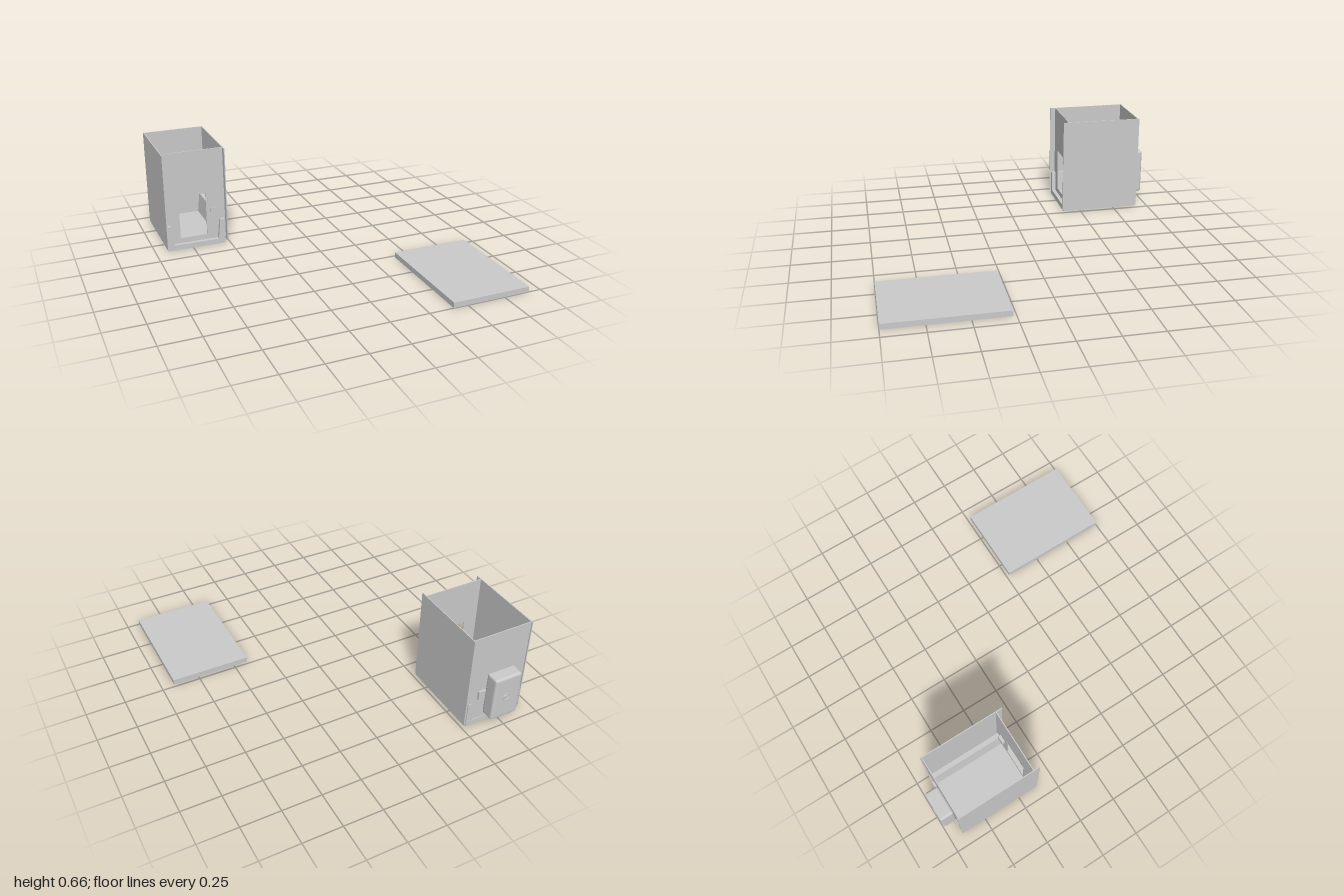
import * as THREE from 'three';
import { RoundedBoxGeometry } from 'three/addons/geometries/RoundedBoxGeometry.js';

export function createModel() {
  const model = new THREE.Group();
  const material = new THREE.MeshStandardMaterial({ color: 0xcccccc, flatShading: true });

  const add = (name, geometry, x = 0, y = 0, z = 0) => {
    const mesh = new THREE.Mesh(geometry, material);
    mesh.name = name;
    mesh.position.set(x, y, z);
    model.add(mesh);
    return mesh;
  };
  // Box given by its limits on each axis
  const block = (name, x0, x1, y0, y1, z0, z1) =>
    add(name, new THREE.BoxGeometry(x1 - x0, y1 - y0, z1 - z0),
      (x0 + x1) / 2, (y0 + y1) / 2, (z0 + z1) / 2);

  // Loose lid lying on the ground
  block('lid', 0.407, 0.919, 0, 0.035, 0.27, 1);

  // Base tray: U channel with tapered sides
  const channel = new THREE.Shape([
    [-0.918, 0], [-0.53, 0], [-0.53, 0.17], [-0.56, 0.17],
    [-0.575, 0.035], [-0.873, 0.035], [-0.888, 0.17], [-0.918, 0.17],
  ].map(([x, y]) => new THREE.Vector2(x, y)));
  add('baseTray', new THREE.ExtrudeGeometry(channel, { depth: 0.535, bevelEnabled: false }), 0, 0, -0.913);

  // Side walls, running a little past the front panel
  block('sideWall', -0.923, -0.917, 0.015, 0.66, -0.915, -0.368);
  block('sideWall', -0.519, -0.513, 0.015, 0.66, -0.915, -0.368);

  // Front panel with a doorway
  const front = new THREE.Shape([
    [-0.917, 0.035], [-0.519, 0.035], [-0.519, 0.66], [-0.917, 0.66],
  ].map(([x, y]) => new THREE.Vector2(x, y)));
  front.holes.push(new THREE.Path([
    [-0.825, 0.07], [-0.825, 0.36], [-0.645, 0.36], [-0.645, 0.07],
  ].map(([x, y]) => new THREE.Vector2(x, y))));
  add('frontPanel', new THREE.ExtrudeGeometry(front, { depth: 0.006, bevelEnabled: false }), 0, 0, -0.411);

  // Back panel
  block('backPanel', -0.917, -0.519, 0.015, 0.66, -0.908, -0.902);

  // Small sensor tabs on the front and back panels
  block('frontTab', -0.615, -0.567, 0.195, 0.255, -0.43, -0.4);
  block('backTab', -0.64, -0.592, 0.195, 0.255, -0.922, -0.902);

  // Rounded housing on the back
  add('rearHousing', new RoundedBoxGeometry(0.19, 0.31, 0.092, 2, 0.015), -0.742, 0.22, -0.95);

  // Round boss on the housing
  const boss = add('housingBoss', new THREE.TorusGeometry(0.022, 0.005, 6, 16), -0.742, 0.222, -0.995);
  boss.scale.z = 0.8;
  const hub = add('housingHub', new THREE.CylinderGeometry(0.012, 0.012, 0.008, 12), -0.742, 0.222, -0.995);
  hub.rotation.x = Math.PI / 2;

  // Row of small studs at the back corner
  for (let i = 0; i < 4; i++) {
    const stud = add('stud', new THREE.CylinderGeometry(0.005, 0.005, 0.008, 8), -0.545, 0.04 + i * 0.035, -0.914);
    stud.rotation.x = Math.PI / 2;
  }

  return model;
}
